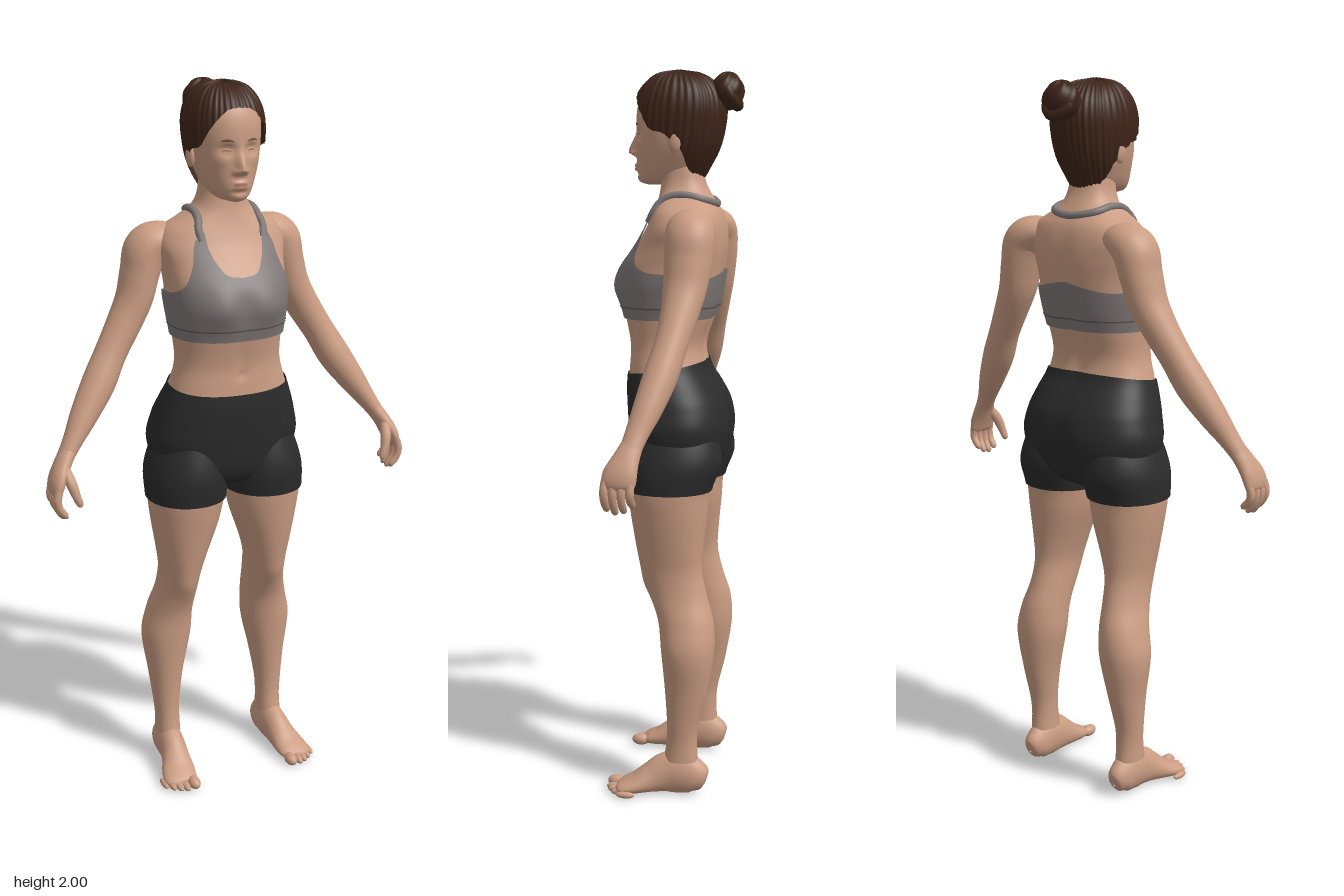
import * as THREE from 'three';

const mat = (name, color, side = THREE.FrontSide) => {
  const m = new THREE.MeshStandardMaterial({ color, side });
  m.name = name;
  return m;
};
const V = (x, y, z) => new THREE.Vector3(x, y, z);
const PI = Math.PI, FRONT = PI / 2;
const spow = (v, e) => Math.sign(v) * Math.pow(Math.abs(v), e);
const bell = (v, c, w) => Math.exp(-(((v - c) / w) ** 2));

// Smooth interpolation of rows; the first entry of a row is its key
function table(rows) {
  const slope = (i, k) => {
    const a = rows[Math.max(i - 1, 0)], b = rows[Math.min(i + 1, rows.length - 1)];
    return (b[k] - a[k]) / (b[0] - a[0]);
  };
  return (t) => {
    let i = 0;
    while (i < rows.length - 2 && t > rows[i + 1][0]) i++;
    const a = rows[i], b = rows[i + 1], h = b[0] - a[0];
    const s = Math.min(Math.max((t - a[0]) / h, 0), 1), s2 = s * s, s3 = s2 * s;
    return a.map((v, k) => (2 * s3 - 3 * s2 + 1) * v + (s3 - 2 * s2 + s) * h * slope(i, k)
      + (3 * s2 - 2 * s3) * b[k] + (s3 - s2) * h * slope(i + 1, k));
  };
}

// Surface grid from fn(u, v), u running around and v running along
function grid(fn, nu, nv, closed = true) {
  const pos = [], idx = [], w = closed ? nu : nu + 1;
  for (let j = 0; j <= nv; j++)
    for (let i = 0; i < w; i++) pos.push(...fn(i / nu, j / nv).toArray());
  for (let j = 0; j < nv; j++)
    for (let i = 0; i < nu; i++) {
      const a = j * w + i, b = j * w + (i + 1) % w, c = a + w, d = b + w;
      idx.push(a, c, b, b, c, d);
    }
  const g = new THREE.BufferGeometry();
  g.setAttribute('position', new THREE.Float32BufferAttribute(pos, 3));
  g.setIndex(idx);
  g.computeVertexNormals();
  return g;
}

// Upright form from rows [y, halfWidth, frontZ, backZ, centreX], adjusted by a rule
function upright(rows, e, rule = () => {}) {
  const at = table(rows);
  return (th, y) => {
    const [, rx, f, b, cx] = at(y), s = Math.sin(th);
    const p = V((cx || 0) + rx * spow(Math.cos(th), e), y, (f + b) / 2 + (f - b) / 2 * spow(s, e));
    rule(p, s);
    return p;
  };
}

// Part of an upright form between two heights, pushed out from centre(y)
function patch(fn, lo, hi, nu, nv, off = 0, centre = (y) => V(0, y, 0), t0 = 0, t1 = 2 * PI) {
  const val = (f, th) => (typeof f === 'function' ? f(th) : f);
  return grid((u, v) => {
    const th = t0 + (t1 - t0) * u, a = val(lo, th), b = val(hi, th);
    const p = fn(th, a + (b - a) * v);
    const d = p.clone().sub(centre(p.y)).normalize();
    return p.addScaledVector(d, val(off, th));
  }, nu, nv, t1 - t0 > 6.28);
}

// Limb along rows [x, y, z, radiusAcross, radiusDeep]
function limb(rows, nu, nv, ref = V(0, 0, 1)) {
  const at = table(rows.map((r, i) => [i, ...r])), n = rows.length - 1;
  return grid((u, v) => {
    const t = v * n, r = at(t), a = at(Math.max(t - 0.05, 0)), b = at(Math.min(t + 0.05, n));
    const T = V(b[1] - a[1], b[2] - a[2], b[3] - a[3]).normalize();
    const N = T.clone().cross(ref).normalize(), B = N.clone().cross(T);
    return V(r[1], r[2], r[3]).addScaledVector(N, r[4] * Math.cos(u * 2 * PI)).addScaledVector(B, r[5] * Math.sin(u * 2 * PI));
  }, nu, nv);
}

function mirrored(g) {
  const m = g.clone().scale(-1, 1, 1), ix = m.index.array;
  for (let i = 0; i < ix.length; i += 3) [ix[i], ix[i + 1]] = [ix[i + 1], ix[i]];
  return m;
}

const ball = (x, y, z, a, b, c) => new THREE.SphereGeometry(1, 20, 14).scale(a, b, c).translate(x, y, z);

export function createModel() {
  const root = new THREE.Group();
  root.name = 'athleticWoman';
  const skin = mat('skin', 0xcb9d83), hair = mat('hair', 0x3e2519, THREE.DoubleSide);
  const top = mat('greyFabric', 0x7f7876, THREE.DoubleSide), seam = mat('greySeam', 0x5a5453, THREE.DoubleSide);
  const black = mat('blackFabric', 0x2b2b2c, THREE.DoubleSide);
  const lip = mat('lips', 0xb37d6b, THREE.DoubleSide), brow = mat('brows', 0x7d563f, THREE.DoubleSide);
  const add = (name, g, m) => {
    const mesh = new THREE.Mesh(g, m);
    mesh.name = name;
    root.add(mesh);
  };
  const pair = (name, g, m) => {
    add(name + 'Left', g, m);
    add(name + 'Right', mirrored(g), m);
  };

  // Torso and neck
  const torso = upright([
    [0.885, 0.03, 0.02, -0.05], [0.91, 0.11, 0.08, -0.1], [0.95, 0.18, 0.112, -0.13], [1.03, 0.212, 0.127, -0.148],
    [1.1, 0.2, 0.133, -0.138], [1.15, 0.183, 0.135, -0.113], [1.2, 0.164, 0.132, -0.083], [1.26, 0.148, 0.13, -0.074],
    [1.33, 0.15, 0.142, -0.095], [1.38, 0.157, 0.15, -0.11], [1.43, 0.164, 0.153, -0.12], [1.48, 0.166, 0.145, -0.128],
    [1.53, 0.172, 0.113, -0.133], [1.58, 0.18, 0.083, -0.13], [1.62, 0.16, 0.066, -0.12], [1.645, 0.12, 0.058, -0.105],
    [1.67, 0.083, 0.052, -0.09], [1.7, 0.066, 0.048, -0.075], [1.74, 0.06, 0.046, -0.066], [1.79, 0.056, 0.04, -0.06],
  ], 0.85, (p, s) => {
    const y = p.y, ax = Math.abs(p.x);
    if (s > 0) p.z += s * (0.018 * bell(ax, 0.07, 0.055) * bell(y, 1.425, 0.05) - 0.006 * bell(p.x, 0, 0.01) * bell(y, 1.235, 0.012)
      - 0.004 * bell(p.x, 0, 0.015) * bell(y, 1.28, 0.05));
    else p.z -= s * (0.022 * bell(p.x, 0, 0.03) * bell(y, 0.98, 0.08) + 0.011 * bell(p.x, 0, 0.025) * bell(y, 1.36, 0.17));
  });
  add('torso', patch(torso, 1.15, 1.79, 96, 80), skin);

  // Sports top: body, band seam, strap round the neck
  const edge = table([[0, 1.505], [0.2, 1.515], [0.31, 1.55], [0.41, 1.615], [0.52, 1.612], [0.65, 1.55],
    [0.95, 1.49], [1.3, 1.465], [1.57, 1.46], [2.3, 1.445], [3.15, 1.47]]);
  const neckline = (th) => edge(Math.abs(th > 1.5 * PI ? th - 2.5 * PI : th - FRONT))[1];
  add('sportsTop', patch(torso, 1.335, neckline, 180, 30, 0.007), top);
  add('topBandSeam', patch(torso, 1.364, 1.368, 96, 1, 0.0085), seam);
  const half = [[0.46, 1.595], [0.58, 1.625], [0.8, 1.648], [1.2, 1.664], [1.7, 1.668], [2.4, 1.656]];
  const strap = [...half, [PI, 1.645], ...half.map(([a, y]) => [2 * PI - a, y]).reverse()]
    .map(([a, y]) => torso(FRONT + a, y));
  add('neckStrap', new THREE.TubeGeometry(new THREE.CatmullRomCurve3(strap), 90, 0.011, 10), top);

  // Shorts and legs
  const dip = (th) => 1.2 - 0.018 * Math.sin(th);
  add('shortsSeat', patch(torso, 0.886, dip, 96, 40, 0.005), black);
  const leg = upright([
    [0.1, 0.036, 0.012, -0.085, 0.166], [0.15, 0.035, 0.004, -0.082, 0.166], [0.2, 0.038, 0.002, -0.086, 0.167],
    [0.3, 0.051, 0.008, -0.11, 0.165], [0.42, 0.071, 0.02, -0.129, 0.16], [0.5, 0.064, 0.03, -0.125, 0.15],
    [0.57, 0.056, 0.055, -0.105, 0.139], [0.64, 0.057, 0.08, -0.09, 0.134], [0.7, 0.07, 0.094, -0.092, 0.13],
    [0.8, 0.096, 0.112, -0.102, 0.121], [0.87, 0.107, 0.122, -0.108, 0.118], [0.95, 0.107, 0.128, -0.134, 0.115],
    [1.06, 0.08, 0.1, -0.11, 0.105],
  ], 0.96, (p, s) => {
    if (s > 0) p.z += s * 0.007 * bell(p.x, 0.135, 0.03) * bell(p.y, 0.6, 0.035);
  });
  const legAxis = (y) => V(0.12, y, 0);
  pair('leg', patch(leg, 0.1, 0.92, 40, 60), skin);
  pair('shortsLeg', patch(leg, 0.868, 1.06, 48, 16, 0.006, legAxis), black);

  // Feet and toes
  pair('foot', limb([
    [0.165, 0.035, -0.106, 0.004, 0.004], [0.165, 0.038, -0.1, 0.022, 0.03], [0.165, 0.05, -0.078, 0.034, 0.05],
    [0.166, 0.062, -0.035, 0.038, 0.062], [0.168, 0.058, 0.005, 0.038, 0.058], [0.173, 0.044, 0.045, 0.041, 0.044],
    [0.181, 0.029, 0.085, 0.048, 0.029], [0.188, 0.02, 0.118, 0.048, 0.02], [0.19, 0.015, 0.138, 0.036, 0.013],
    [0.19, 0.014, 0.145, 0.004, 0.004],
  ], 28, 40, V(0, 1, 0)), skin);
  for (let i = 0; i < 5; i++) {
    const r = i ? 0.0115 - i * 0.0005 : 0.017;
    pair('toe' + (i + 1), ball(i ? 0.165 + i * 0.0175 : 0.157, r, 0.15 - i * i * 0.0025, r, r, 0.027), skin);
  }

  // Arms
  pair('arm', limb([
    [0.11, 1.59, -0.055, 0.03, 0.045], [0.16, 1.585, -0.062, 0.05, 0.062], [0.198, 1.56, -0.066, 0.058, 0.066],
    [0.216, 1.5, -0.065, 0.053, 0.064], [0.236, 1.43, -0.06, 0.05, 0.058], [0.27, 1.365, -0.052, 0.047, 0.05],
    [0.315, 1.29, -0.038, 0.044, 0.044], [0.358, 1.215, -0.02, 0.046, 0.045], [0.408, 1.14, 0.002, 0.038, 0.039],
    [0.448, 1.08, 0.022, 0.027, 0.031], [0.475, 1.04, 0.034, 0.022, 0.028],
  ], 32, 70), skin);

  // Hands: palm, fingers, thumb
  pair('palm', limb([
    [0.465, 1.055, 0.03, 0.022, 0.028], [0.488, 1.02, 0.042, 0.022, 0.035], [0.506, 0.985, 0.053, 0.021, 0.044],
    [0.515, 0.955, 0.058, 0.016, 0.042], [0.517, 0.942, 0.058, 0.003, 0.02],
  ], 24, 24), skin);
  for (let i = 0; i < 4; i++) {
    const z = 0.091 - i * 0.022, d = [0.008, 0, 0.004, 0.018][i];
    pair('finger' + (i + 1), limb([
      [0.513, 0.968, z, 0.011, 0.011], [0.519, 0.94, z + 0.002, 0.0115, 0.0115], [0.514, 0.912 + d / 2, z + 0.002, 0.0105, 0.0105],
      [0.498, 0.886 + d, z, 0.009, 0.009], [0.491, 0.879 + d, z, 0.002, 0.002],
    ], 12, 20), skin);
  }
  pair('thumb', limb([
    [0.488, 1.02, 0.06, 0.014, 0.014], [0.479, 0.985, 0.088, 0.015, 0.015], [0.469, 0.95, 0.1, 0.012, 0.012],
    [0.46, 0.925, 0.104, 0.009, 0.009], [0.457, 0.918, 0.104, 0.002, 0.002],
  ], 12, 20), skin);

  // Head with sculpted face
  const head = upright([
    [1.697, 0.008, 0.088, 0.03], [1.703, 0.032, 0.107, -0.02], [1.72, 0.052, 0.116, -0.058], [1.76, 0.072, 0.116, -0.083],
    [1.8, 0.085, 0.115, -0.102], [1.85, 0.092, 0.117, -0.115], [1.9, 0.094, 0.114, -0.12], [1.94, 0.085, 0.1, -0.109],
    [1.97, 0.065, 0.073, -0.08], [1.984, 0.04, 0.045, -0.05], [1.99, 0.003, 0.003, -0.003],
  ], 0.92, (p, s) => {
    if (s <= 0) return;
    const y = p.y, ax = Math.abs(p.x);
    const nose = y < 1.785 ? bell(y, 1.785, 0.011) : bell(y, 1.785, 0.038);
    p.z += s * (0.026 * nose * bell(p.x, 0, 0.013) + 0.008 * bell(y, 1.779, 0.008) * bell(ax, 0.014, 0.008)
      - 0.013 * bell(ax, 0.034, 0.02) * bell(y, 1.835, 0.014) + 0.006 * bell(ax, 0.034, 0.013) * bell(y, 1.832, 0.008)
      + 0.006 * bell(p.x, 0, 0.02) * (bell(y, 1.75, 0.006) + bell(y, 1.738, 0.006))
      - 0.004 * bell(p.x, 0, 0.025) * bell(y, 1.725, 0.007) + 0.004 * bell(ax, 0.05, 0.02) * bell(y, 1.805, 0.018));
  });
  const core = () => V(0, 1.86, 0);
  add('head', patch(head, 1.697, 1.99, 140, 110), skin);
  pair('ear', ball(0.091, 1.812, -0.004, 0.011, 0.032, 0.019), skin);

  // Lips, brows and lash lines as thin lens shapes
  const lens = (a, w, y, h, lift) => {
    const c = FRONT - a, k = (th) => Math.sqrt(Math.max(1 - ((th - c) / w) ** 2, 0));
    return patch(head, (th) => y + lift * k(th) - h * k(th), (th) => y + lift * k(th) + h * k(th), 24, 6, 0.0015, core, c - w, c + w);
  };
  add('lips', lens(0, 0.27, 1.744, 0.0085, 0), lip);
  pair('brow', lens(0.36, 0.19, 1.854, 0.0028, 0.006), brow);
  pair('lash', lens(0.36, 0.14, 1.831, 0.0014, 0.003), brow);

  // Hair combed back, with a bun
  const hairEdge = table([[0, 1.935], [0.35, 1.928], [0.75, 1.89], [1.1, 1.845], [1.4, 1.835], [1.75, 1.8], [2.1, 1.75], [2.6, 1.722], [3.15, 1.715]]);
  const hairline = (th) => hairEdge(Math.abs(th > 1.5 * PI ? th - 2.5 * PI : th - FRONT))[1];
  add('hair', patch(head, hairline, 1.99, 240, 40, (th) => 0.0115 + 0.0012 * Math.sin(th * 40) + 0.0007 * Math.sin(th * 23 + 1), core), hair);
  const bun = grid((u, v) => {
    const a = u * 2 * PI, b = (v - 0.5) * PI, r = 1 + 0.05 * Math.sin(a * 6 + v * 12);
    return V(0.054 * r * Math.cos(b) * Math.cos(a), 1.945 + 0.049 * r * Math.sin(b), -0.133 + 0.044 * r * Math.cos(b) * Math.sin(a));
  }, 64, 32);
  add('bun', bun, hair);
  add('bunCoil', new THREE.TorusGeometry(0.038, 0.016, 10, 40).rotateX(0.5).translate(0, 1.94, -0.142), hair);
  return root;
}
